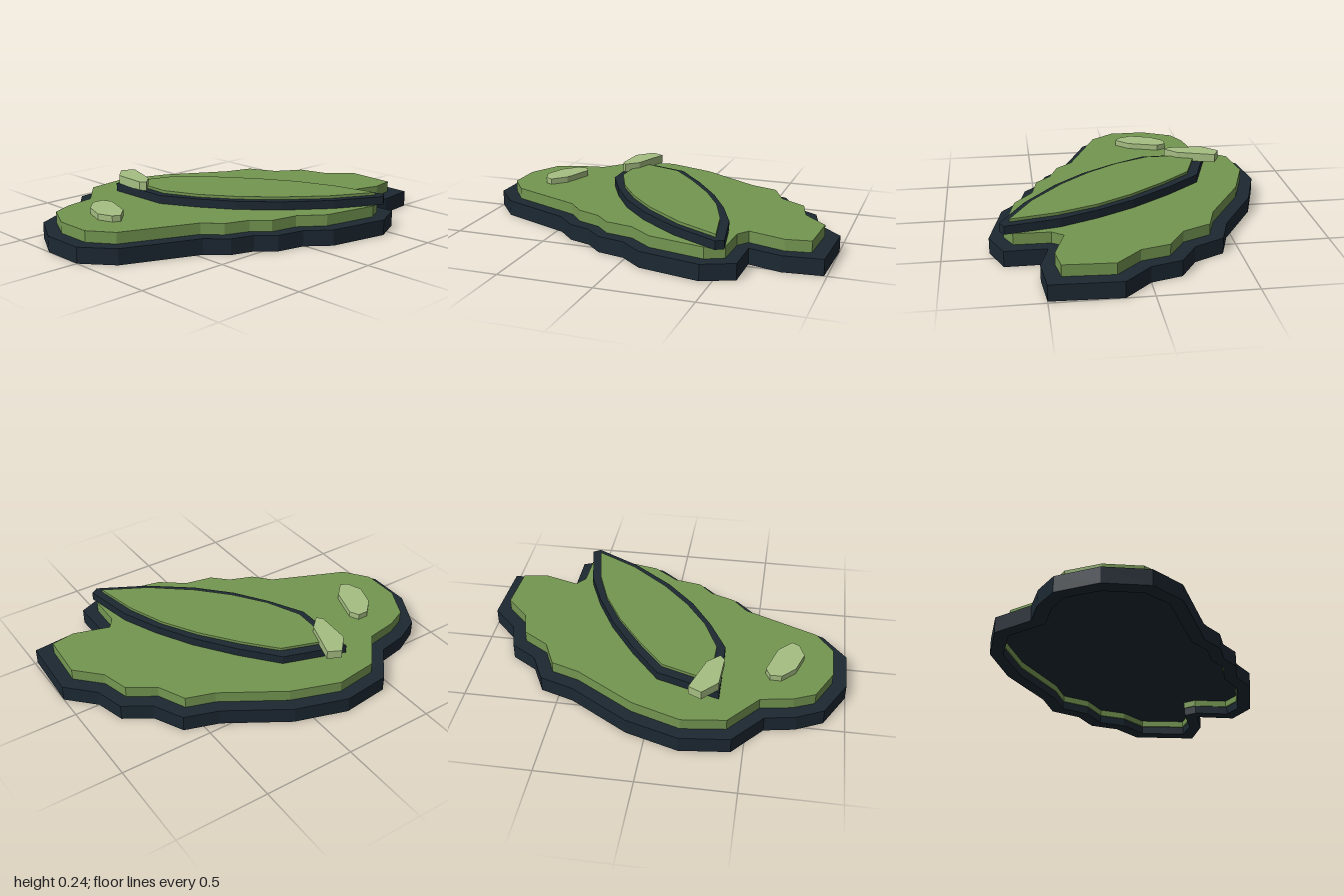
import * as THREE from 'three';

// Outlines seen from above, as [x, z] corners
const rimOutline = [
  [0.14, -1], [0.5, -0.985], [0.52, -0.78], [0.47, -0.605], [0.69, -0.605], [0.76, -0.44],
  [0.69, -0.11], [0.59, 0.01], [0.555, 0.16], [0.47, 0.25], [0.43, 0.37], [0.33, 0.47],
  [0.16, 0.87], [0, 1], [-0.24, 1], [-0.45, 0.89], [-0.52, 0.75], [-0.55, 0.59],
  [-0.73, 0.44], [-0.76, 0.18], [-0.67, -0.1], [-0.47, -0.42], [-0.41, -0.6],
  [-0.25, -0.68], [-0.16, -0.82], [0, -0.865],
];
const bodyOutline = [
  [0.17, -0.925], [0.43, -0.91], [0.45, -0.78], [0.39, -0.585], [0.45, -0.54], [0.64, -0.535],
  [0.685, -0.44], [0.62, -0.14], [0.52, -0.01], [0.49, 0.14], [0.41, 0.22], [0.36, 0.35],
  [0.27, 0.43], [0.1, 0.83], [-0.03, 0.925], [-0.23, 0.925], [-0.4, 0.84], [-0.45, 0.73],
  [-0.48, 0.56], [-0.66, 0.41], [-0.69, 0.18], [-0.6, -0.08], [-0.4, -0.4],
  [-0.35, -0.55], [-0.2, -0.62], [-0.11, -0.76], [0.04, -0.8],
];
const wingOutline = [
  [0.68, -0.54], [0.705, -0.5], [0.57, -0.25], [0.4, -0.03], [0.23, 0.13], [0.05, 0.25],
  [-0.14, 0.35], [-0.51, 0.355], [-0.4, 0.02], [-0.21, -0.14], [0, -0.29], [0.2, -0.4], [0.4, -0.485],
];
const wingPanelOutline = [
  [0.655, -0.49], [0.53, -0.26], [0.36, -0.05], [0.2, 0.1], [0.03, 0.22], [-0.16, 0.305],
  [-0.44, 0.3], [-0.35, 0.04], [-0.19, -0.1], [0.01, -0.25], [0.2, -0.36], [0.41, -0.44],
];
const upperSpotOutline = [
  [-0.54, 0.2], [-0.33, 0.27], [-0.27, 0.335], [-0.3, 0.36], [-0.49, 0.35], [-0.575, 0.27],
];
const lowerSpotOutline = [
  [-0.32, 0.6], [-0.27, 0.575], [-0.1, 0.63], [-0.03, 0.7], [-0.05, 0.74],
  [-0.13, 0.77], [-0.25, 0.73], [-0.32, 0.66],
];

const toPoints = (outline, scale = 1) =>
  outline.map(([x, z]) => new THREE.Vector2(x * scale, -z * scale));

export function createModel() {
  const group = new THREE.Group();
  const material = (name, color) => new THREE.MeshStandardMaterial({ name, color });
  const dark = material('dark slate', 0x1c2832);
  const green = material('leaf green', 0x749651);
  const pale = material('pale green', 0xa5be82);

  // Flat slab between two heights, optionally with a hole wound against its outline
  const slab = (name, mat, outline, bottom, top, hole) => {
    const shape = new THREE.Shape(toPoints(outline));
    if (hole) shape.holes.push(new THREE.Path(hole.reverse()));
    const geometry = new THREE.ExtrudeGeometry(shape, { depth: top - bottom, bevelEnabled: false });
    geometry.rotateX(-Math.PI / 2).translate(0, bottom, 0);
    const mesh = new THREE.Mesh(geometry, mat);
    mesh.name = name;
    group.add(mesh);
  };

  // Hollow rim, with a green lining and a recessed underside
  slab('rim', dark, rimOutline, 0, 0.085, toPoints(bodyOutline));
  slab('lining', green, bodyOutline, 0.045, 0.084, toPoints(bodyOutline, 0.99));
  slab('underside', dark, bodyOutline, 0.08, 0.085);

  // Body and raised wing
  slab('body', green, bodyOutline, 0.085, 0.145);
  slab('wingBorder', dark, wingOutline, 0.145, 0.19);
  slab('wingPanel', green, wingPanelOutline, 0.19, 0.205);

  // Pale highlights
  slab('upperSpot', pale, upperSpotOutline, 0.19, 0.237);
  slab('lowerSpot', pale, lowerSpotOutline, 0.145, 0.177);

  return group;
}
